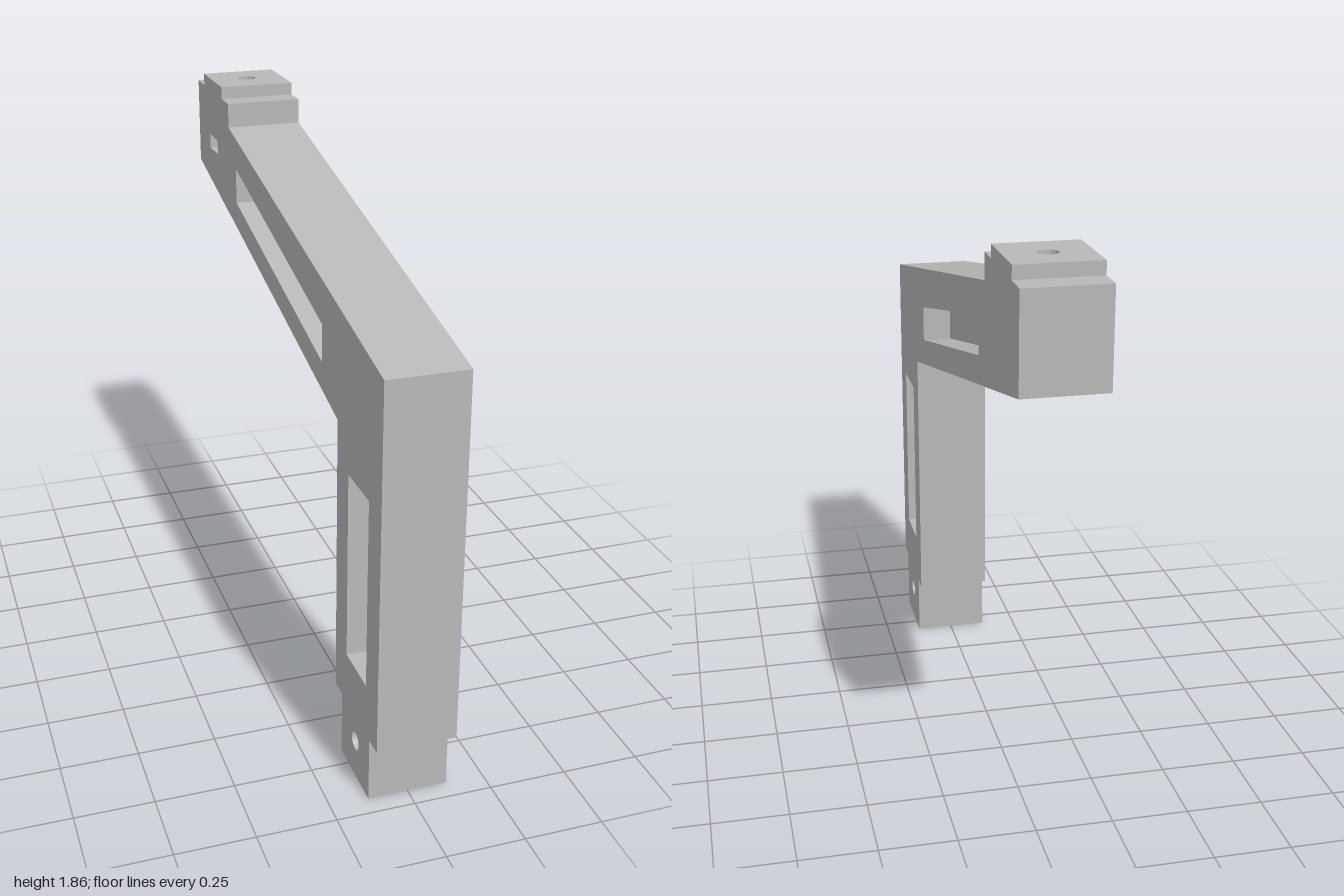
import * as THREE from 'three';

const HALF = 0.1275;      // half the thickness of the bracket
const POCKET = 0.0955;    // depth of the side pockets
const HOLE_R = 0.031;
const HEAD_Z = -0.79;     // centre of the vertical bolt hole

export function createModel() {
  const group = new THREE.Group();
  const grey = new THREE.MeshStandardMaterial({ color: 0xb8b8b8 });
  grey.name = 'grey plastic';

  const add = (name, geometry) => {
    const mesh = new THREE.Mesh(geometry, grey);
    mesh.name = name;
    group.add(mesh);
    return mesh;
  };
  const outline = (Kind, points) => new Kind(points.map(([a, b]) => new THREE.Vector2(a, b)));
  const circle = (x, y) => new THREE.Path().absarc(x, y, HOLE_R, 0, Math.PI * 2, true);
  const extrude = (shape, depth) =>
    new THREE.ExtrudeGeometry(shape, { depth, bevelEnabled: false, curveSegments: 16 });

  // Leg and arm: side profile as [z, y], extruded across x
  const flip = (points) => points.map(([z, y]) => [-z, y]);
  const profile = flip([
    [1, 1.411], [1, 0.215], [0.935, 0.215], [0.935, 0], [0.682, 0], [0.682, 0.215],
    [0.62, 0.215], [0.62, 1.134], [-0.575, 1.419], [-0.575, 1.733],
  ]);
  const pockets = [
    [[0.898, 0.385], [0.721, 0.385], [0.721, 1.002], [0.898, 1.002]],
    [[0.47, 1.26], [-0.487, 1.487], [-0.487, 1.608], [0.47, 1.38]],
  ].map(flip);

  const slab = (name, x0, x1, pocketed) => {
    const shape = outline(THREE.Shape, profile);
    shape.holes.push(circle(-0.81, 0.127));
    if (pocketed) pockets.forEach((p) => shape.holes.push(outline(THREE.Path, p)));
    add(name, extrude(shape, x1 - x0).rotateY(Math.PI / 2).translate(x0, 0, 0));
  };
  slab('rightFrame', -HALF, -HALF + POCKET, true);
  slab('centreWeb', -HALF + POCKET, HALF - POCKET, false);
  slab('leftFrame', HALF - POCKET, HALF, true);

  // Head: stacked layers, extruded upwards around the bolt hole
  const layer = (name, y0, y1, z0, z1) => {
    const shape = outline(THREE.Shape, [[-HALF, -z1], [HALF, -z1], [HALF, -z0], [-HALF, -z0]]);
    shape.holes.push(circle(0, -HEAD_Z));
    return add(name, extrude(shape, y1 - y0).rotateX(-Math.PI / 2).translate(0, y0, 0));
  };
  const slotLow = 1.6, slotHigh = 1.65, slotHalf = 0.054;

  // The lowest layer follows the sloping underside of the arm
  const base = layer('headBase', 1.3, slotLow, -1, -0.575).geometry;
  const pos = base.attributes.position;
  for (let i = 0; i < pos.count; i++) {
    if (pos.getY(i) < 1.31) pos.setY(i, 1.519 - (pos.getZ(i) + 1) * 0.2377);
  }
  base.computeVertexNormals();

  // Layer with the nut slot, open towards -x
  const a = -HEAD_Z - slotHalf, b = -HEAD_Z + slotHalf, end = 0.055;
  const slotShape = outline(THREE.Shape, [
    [-HALF, 0.575], [HALF, 0.575], [HALF, 1], [-HALF, 1],
    [-HALF, b], [end, b], [end, a], [-HALF, a],
  ]);
  add('nutSlotLayer', extrude(slotShape, slotHigh - slotLow)
    .rotateX(-Math.PI / 2).translate(0, slotLow, 0));

  layer('headTop', slotHigh, 1.815, -1, -0.575);
  layer('headTab', 1.815, 1.856, -0.912, -0.66);

  return group;
}
